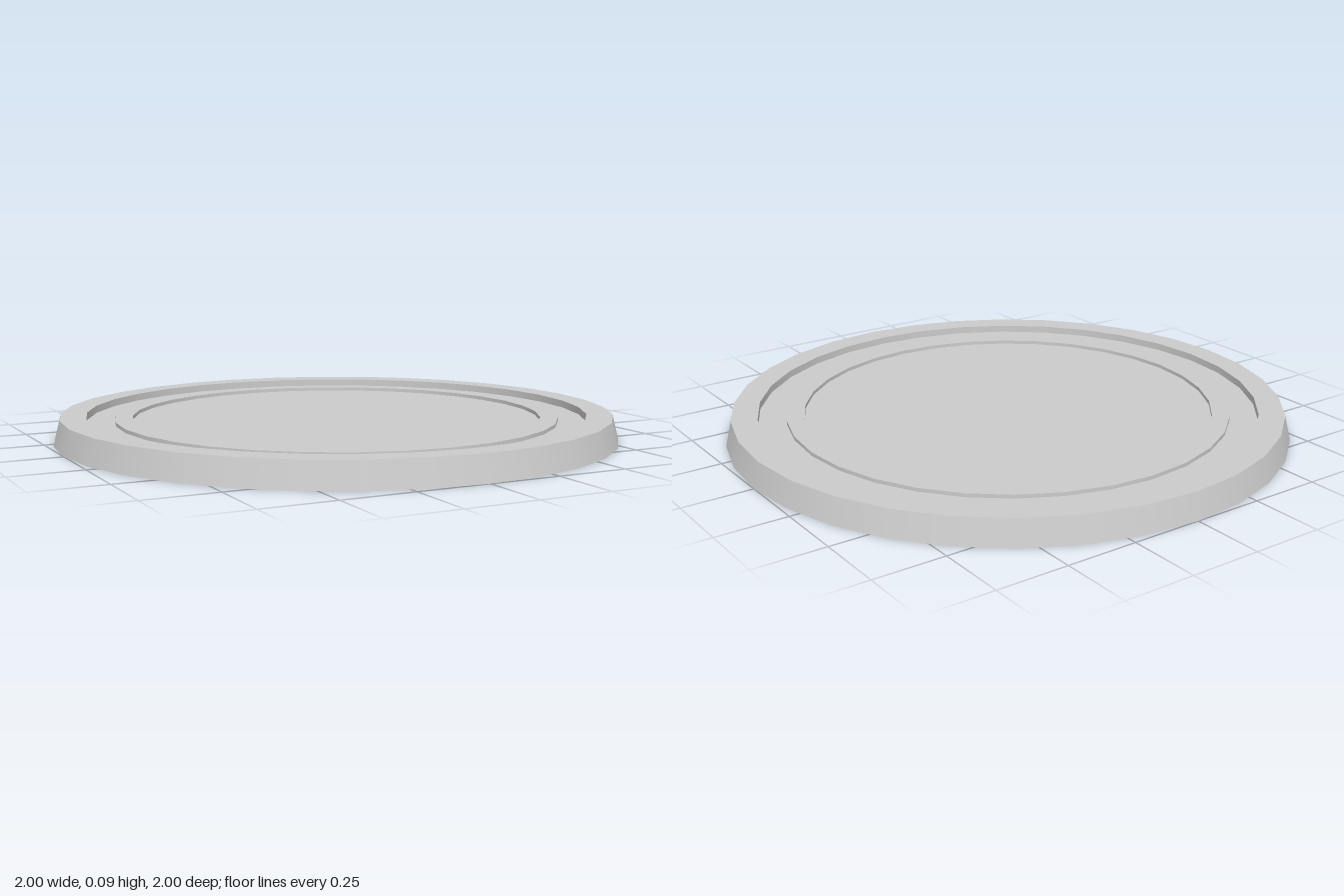
import * as THREE from 'three';
import { mergeGeometries } from 'three/addons/utils/BufferGeometryUtils.js';

const SIDES = 32;
const material = new THREE.MeshStandardMaterial({ color: 0xcccccc });

// Revolves a profile with a hard edge at every profile point
function turned(name, profile) {
  const bands = [];
  for (let i = 0; i < profile.length - 1; i++) {
    const pair = [profile[i], profile[i + 1]].map(([r, y]) => new THREE.Vector2(r, y));
    bands.push(new THREE.LatheGeometry(pair, SIDES));
  }
  const mesh = new THREE.Mesh(mergeGeometries(bands), material);
  mesh.name = name;
  return mesh;
}

export function createModel() {
  const top = 0.088, floor = 0.062, ringTop = 0.075;
  const group = new THREE.Group();
  group.name = 'roundTray';

  // Flat underside, sloping side, flat rim and the wall down to the floor
  group.add(turned('body', [[0, 0], [1, 0], [0.978, top], [0.887, top], [0.887, floor]]));

  // Recessed floor between rim and ring
  group.add(turned('outerFloor', [[0.887, floor], [0.788, floor]]));

  // Low raised ring
  group.add(turned('raisedRing', [[0.788, floor], [0.788, ringTop], [0.726, ringTop], [0.726, floor]]));

  // Central recessed disc
  group.add(turned('centreFloor', [[0.726, floor], [0, floor]]));

  return group;
}
